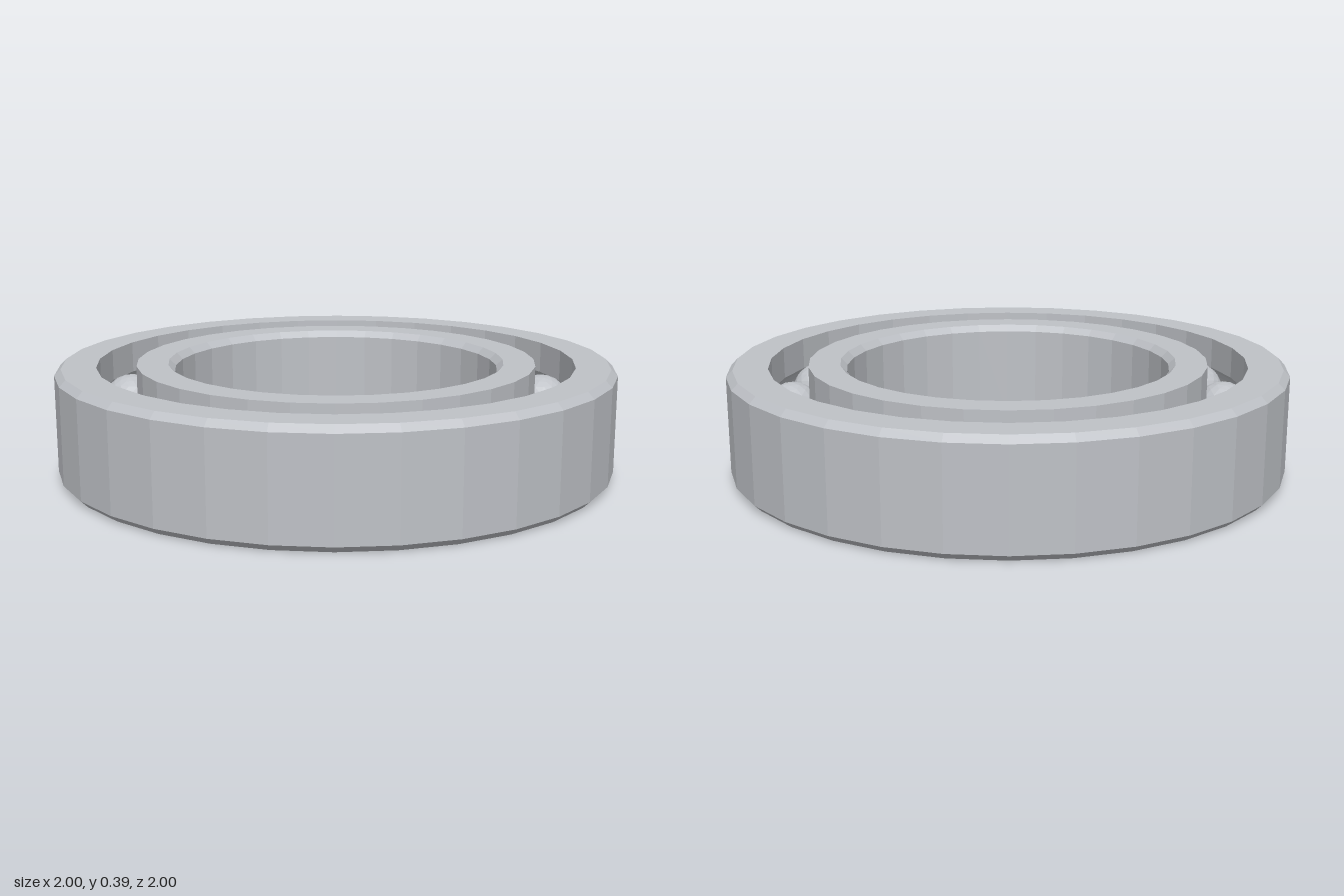
import * as THREE from 'three';

const HEIGHT = 0.39, MID = HEIGHT / 2, BEVEL = 0.023;
const BALLS = 16, PITCH = 0.785, BALL_R = 0.105;
const SEGMENTS = 32;

// Raceway groove cut into a wall at radius r: points from bottom to top
function groove(r, steps = 8) {
  const side = Math.sign(r - PITCH);
  const radius = BALL_R + 0.002;
  const half = Math.acos(Math.abs(r - PITCH) / radius);
  return Array.from({ length: steps + 1 }, (_, i) => {
    const a = -half + (2 * half * i) / steps;
    return [PITCH + side * radius * Math.cos(a), MID + radius * Math.sin(a)];
  });
}

// Closed counter-clockwise profile turned around the y axis
function ring(name, profile, material) {
  const points = [...profile, profile[0]].map(([x, y]) => new THREE.Vector2(x, y));
  const mesh = new THREE.Mesh(new THREE.LatheGeometry(points, SEGMENTS), material);
  mesh.name = name;
  return mesh;
}

export function createModel() {
  const group = new THREE.Group();
  group.name = 'ballBearing';
  const steel = new THREE.MeshStandardMaterial({ color: 0xbfc2c7, flatShading: true });
  steel.name = 'steel';

  // Outer ring: bevelled outside, grooved inside
  const outerWall = 0.855;
  group.add(ring('outerRing', [
    [outerWall, 0], [1 - BEVEL, 0], [1, BEVEL],
    [1, HEIGHT - BEVEL], [1 - BEVEL, HEIGHT], [outerWall, HEIGHT],
    ...groove(outerWall).reverse(),
  ], steel));

  // Inner ring: grooved outside, bevelled around the bore
  const innerWall = 0.715, bore = 0.58;
  group.add(ring('innerRing', [
    [bore + BEVEL, 0], [innerWall, 0],
    ...groove(innerWall),
    [innerWall, HEIGHT], [bore + BEVEL, HEIGHT],
    [bore, HEIGHT - BEVEL], [bore, BEVEL],
  ], steel));

  // Balls spaced evenly in the raceway
  const balls = new THREE.Group();
  balls.name = 'balls';
  const ballGeometry = new THREE.IcosahedronGeometry(BALL_R, 3);
  for (let i = 0; i < BALLS; i++) {
    const a = (i / BALLS) * Math.PI * 2;
    const ball = new THREE.Mesh(ballGeometry, steel);
    ball.name = 'ball';
    ball.position.set(PITCH * Math.sin(a), MID, PITCH * Math.cos(a));
    ball.rotation.y = a;
    balls.add(ball);
  }
  group.add(balls);
  return group;
}
